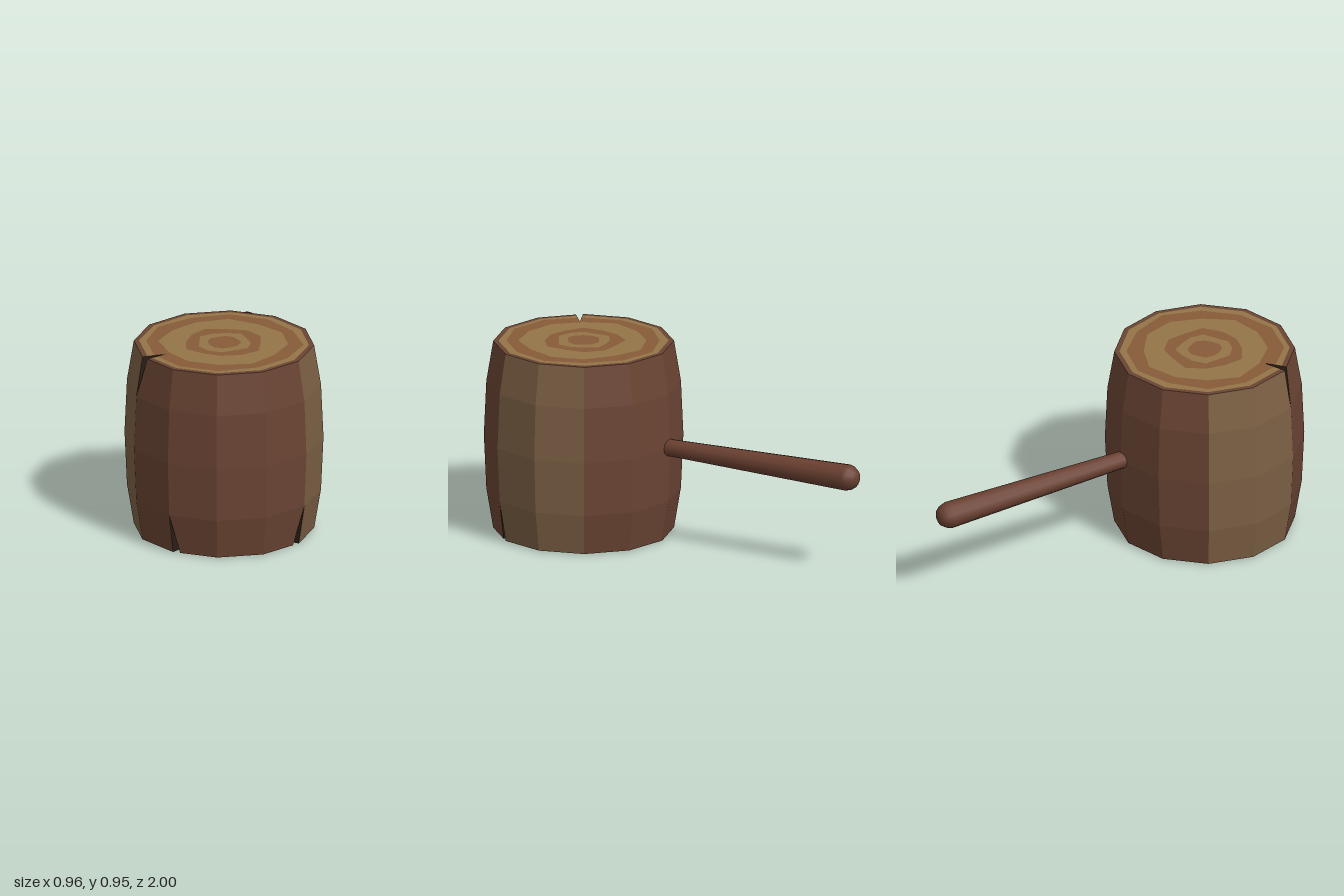
import * as THREE from 'three';

const SIDES = 12, CENTER_Z = 0.52, HEIGHT = 0.94;
// barrel profile: [radius, height]
const LEVELS = [[0.435, 0], [0.468, 0.2], [0.48, 0.47], [0.468, 0.74], [0.435, HEIGHT]];
// splits in the wood: edge index, end of the log, direction of opening, inner radius
const CRACKS = [
  { edge: 11, top: false, dir: 1, depth: 0.31 },
  { edge: 2, top: false, dir: -1, depth: 0.26 },
  { edge: 10, top: true, dir: 1, depth: 0.31 },
];

const paint = (color) => new THREE.MeshStandardMaterial({ color, flatShading: true, roughness: 0.9 });
const barkMat = paint(0x6a4433), sideBarkMat = paint(0x7c6044), crackMat = paint(0x2a1d16);
crackMat.side = THREE.DoubleSide;
const tanMat = paint(0x947448), ringMat = paint(0x875b38);

const polar = (i, r, y = 0) => {
  const a = (i / SIDES) * Math.PI * 2;
  return new THREE.Vector3(Math.sin(a) * r, y, Math.cos(a) * r);
};

const findCrack = (edge, top) => CRACKS.find((c) => c.edge === edge % SIDES && c.top === top);

// corner points of a crack: fixed lip, opened lip and inner tip
function crackPoints(c) {
  const y = c.top ? HEIGHT : 0, r = LEVELS[0][0];
  const fixed = polar(c.edge, r, y);
  const opened = fixed.clone().lerp(polar(c.edge + c.dir, r, y), 0.16);
  const tip = polar(c.edge + c.dir * 0.1, c.depth, y);
  const apex = c.top ? polar(c.edge, LEVELS[3][0], LEVELS[3][1]) : polar(c.edge, LEVELS[1][0], LEVELS[1][1]);
  return { fixed, opened, tip, apex };
}

function meshFrom(points, material, name) {
  const g = new THREE.BufferGeometry().setFromPoints(points);
  g.computeVertexNormals();
  const m = new THREE.Mesh(g, material);
  m.name = name;
  return m;
}

// a corner of the stave that runs from edge i to edge i + 1
function staveCorner(i, step, level) {
  const edge = i + step;
  if (level === 0 || level === LEVELS.length - 1) {
    const c = findCrack(edge, level > 0);
    if (c && c.dir === (step ? -1 : 1)) return crackPoints(c).opened;
  }
  return polar(edge, ...LEVELS[level]);
}

function stave(i) {
  const pts = [];
  for (let l = 0; l < LEVELS.length - 1; l++) {
    const a = staveCorner(i, 0, l), b = staveCorner(i, 1, l);
    const c = staveCorner(i, 1, l + 1), d = staveCorner(i, 0, l + 1);
    pts.push(a, b, c, a, c, d);
  }
  const facesSide = Math.abs(Math.sin(((i + 0.5) / SIDES) * Math.PI * 2)) > 0.9;
  return meshFrom(pts, facesSide ? sideBarkMat : barkMat, 'barkStave');
}

// one growth-ring disc, notched where a crack cuts in
function ringDisc(r, wobble, top, lift, material) {
  const outline = [];
  for (let i = 0; i < SIDES; i++) {
    const c = findCrack(i, top);
    if (c && r > c.depth) {
      const { fixed, opened, tip } = crackPoints(c);
      const t = (r - c.depth) / (LEVELS[0][0] - c.depth);
      const notch = [tip.clone().lerp(fixed, t), tip, tip.clone().lerp(opened, t)];
      outline.push(...(c.dir > 0 ? notch : notch.reverse()));
    } else {
      outline.push(polar(i, r * (1 + wobble * Math.sin(i * 2.3 + r * 20))));
    }
  }
  const s = top ? -1 : 1;
  const g = new THREE.ShapeGeometry(new THREE.Shape(outline.map((p) => new THREE.Vector2(p.x, s * p.z))));
  g.rotateX((s * Math.PI) / 2);
  const m = new THREE.Mesh(g, material);
  m.position.y = top ? HEIGHT + lift : -lift;
  m.name = top ? 'topGrowthRing' : 'bottomGrowthRing';
  return m;
}

export function createModel() {
  const model = new THREE.Group();
  model.name = 'woodenMallet';

  // log head
  const head = new THREE.Group();
  head.name = 'head';
  head.position.z = CENTER_Z;
  for (let i = 0; i < SIDES; i++) head.add(stave(i));

  // end grain
  const rings = [[0.435, 0, barkMat], [0.41, 0, tanMat], [0.375, 0.025, ringMat], [0.305, 0.04, tanMat],
    [0.19, 0.07, ringMat], [0.13, 0.09, tanMat], [0.08, 0.06, ringMat]];
  for (const top of [true, false]) {
    rings.forEach(([r, w, mat], k) => head.add(ringDisc(r, w, top, k * 0.0006, mat)));
  }

  // dark walls inside the cracks
  for (const c of CRACKS) {
    const { fixed, opened, tip, apex } = crackPoints(c);
    head.add(meshFrom([fixed, tip, apex, opened, apex, tip], crackMat, 'crack'));
  }
  model.add(head);

  // tapered handle with a rounded end
  const profile = [[0.041, -0.12], [0.043, 0], [0.065, 0.94], [0.058, 0.965], [0.042, 0.987], [0.022, 0.998], [0, 1]]
    .map(([r, y]) => new THREE.Vector2(r, y));
  const handleMat = new THREE.MeshStandardMaterial({ color: 0x6a4031, roughness: 0.9 });
  const handle = new THREE.Mesh(new THREE.LatheGeometry(profile, 12), handleMat);
  handle.rotation.x = -Math.PI / 2;
  handle.position.y = 0.475;
  handle.name = 'handle';
  model.add(handle);

  return model;
}
